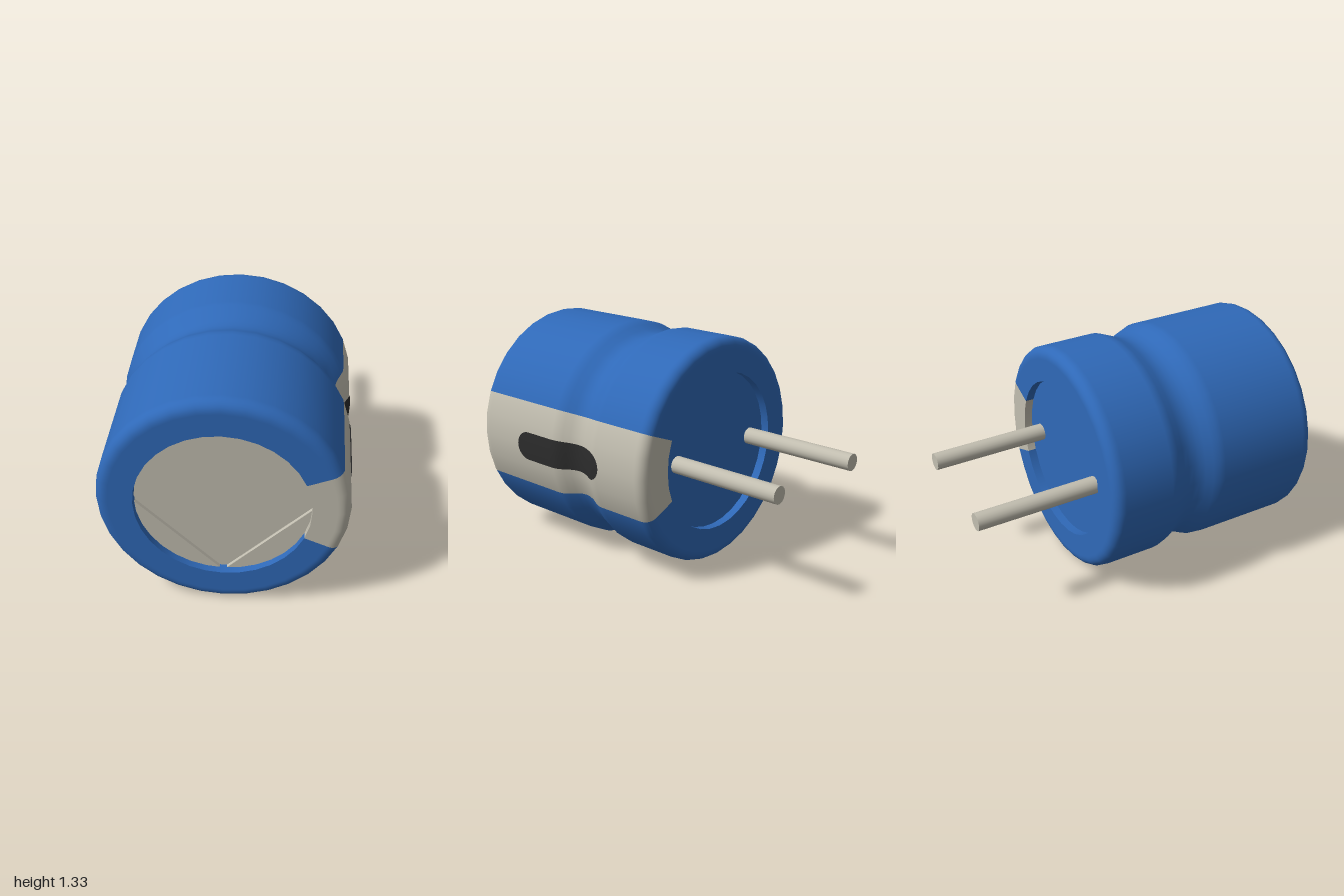
import * as THREE from 'three';

const material = (name, color) => {
  const m = new THREE.MeshStandardMaterial({ color });
  m.name = name;
  return m;
};

const CY = 0.665;        // height of the can's axis
const R = 0.665;         // can radius
const HOLE = 0.465;      // opening radius at both ends
const BACK = -0.33, FRONT = 1, FILLET = 0.06;
const SIDES = 32;
const STRIPE = Math.PI / 8; // half angle of the pale stripe

// [z, radius] of the pinched groove
const groove = [
  [0.03, R], [0.06, 0.662], [0.09, 0.651], [0.13, 0.631], [0.165, 0.619], [0.2, 0.614],
  [0.235, 0.617], [0.27, 0.628], [0.31, 0.648], [0.345, 0.661], [0.38, R],
];

function radiusAt(z) {
  for (let i = 1; i < groove.length; i++) {
    const [z0, r0] = groove[i - 1], [z1, r1] = groove[i];
    if (z >= z0 && z <= z1) return r0 + (r1 - r0) * (z - z0) / (z1 - z0);
  }
  return R;
}

// sleeve profile from the back opening to the front opening
function sleeveProfile() {
  const pts = [[HOLE, BACK], [R - FILLET - 0.01, BACK]];
  for (let i = 0; i <= 6; i++) {
    const a = (i / 6) * Math.PI / 2;
    pts.push([R - FILLET + FILLET * Math.sin(a), BACK + FILLET * (1 - Math.cos(a))]);
  }
  pts.push([R, BACK + FILLET + 0.01]);
  groove.forEach(([z, r]) => pts.push([r, z]));
  pts.push([R, FRONT - FILLET - 0.01]);
  for (let i = 6; i >= 0; i--) {
    const a = (i / 6) * Math.PI / 2;
    pts.push([R - FILLET + FILLET * Math.sin(a), FRONT - FILLET * (1 - Math.cos(a))]);
  }
  pts.push([R - FILLET - 0.01, FRONT], [HOLE, FRONT]);
  return pts;
}

// partial revolve around the z axis; angle PI/2 points to +x
function revolve(points, start, length) {
  const segments = Math.round(SIDES * length / (Math.PI * 2));
  const g = new THREE.LatheGeometry(points.map(p => new THREE.Vector2(...p)), segments, start, length);
  return g.rotateX(Math.PI / 2);
}

// rounded label that follows the sleeve surface
function markGeometry() {
  const z0 = 0.005, z1 = 0.665, h = 0.085, steps = 64;
  const pos = [], idx = [];
  for (let i = 0; i <= steps; i++) {
    // cosine spacing puts more rows in the round ends
    const z = z0 + (z1 - z0) * (1 - Math.cos(Math.PI * i / steps)) / 2;
    const d = Math.max(0, h - Math.min(z - z0, z1 - z));
    const half = Math.sqrt(Math.max(0, h * h - d * d)) / R;
    const r = radiusAt(z) + 0.004;
    for (const a of [-half, 0, half]) pos.push(r * Math.cos(a), r * Math.sin(a), z);
    if (i < steps) {
      for (let j = 0; j < 2; j++) {
        const a = i * 3 + j, b = a + 1, c = a + 3, d2 = a + 4;
        idx.push(a, b, c, b, d2, c);
      }
    }
  }
  const g = new THREE.BufferGeometry();
  g.setAttribute('position', new THREE.Float32BufferAttribute(pos, 3));
  g.setIndex(idx);
  g.computeVertexNormals();
  return g;
}

export function createModel() {
  const blue = material('sleeve blue', 0x2f69b8);
  const pale = material('pale metal', 0xc2beb0);
  const dark = material('mark black', 0x2c2c2c);
  dark.side = THREE.DoubleSide;

  const model = new THREE.Group();
  model.name = 'capacitor';
  const body = new THREE.Group();
  body.name = 'body';
  body.position.y = CY;
  model.add(body);

  const add = (name, geometry, mat) => {
    const mesh = new THREE.Mesh(geometry, mat);
    mesh.name = name;
    body.add(mesh);
    return mesh;
  };

  // sleeve and stripe, each with the inner walls of the two openings
  const arcs = [
    ['sleeve', blue, Math.PI / 2 + STRIPE, Math.PI * 2 - STRIPE * 2],
    ['stripe', pale, Math.PI / 2 - STRIPE, STRIPE * 2],
  ];
  for (const [name, mat, start, length] of arcs) {
    add(name, revolve(sleeveProfile(), start, length), mat);
    add(name + 'FrontWall', revolve([[HOLE, FRONT], [HOLE, 0.93]], start, length), mat);
    add(name + 'BackWall', revolve([[HOLE, -0.27], [HOLE, BACK]], start, length), mat);
  }

  add('stripeMark', markGeometry(), dark);

  // recessed back seal
  const seal = add('backSeal', new THREE.CircleGeometry(HOLE, SIDES), blue);
  seal.rotation.y = Math.PI;
  seal.position.z = -0.28;

  // front plate: floor plus four raised quadrants that leave a scored cross
  add('frontPlateFloor', new THREE.CircleGeometry(HOLE, SIDES), pale).position.z = 0.94;
  const gap = 0.018, a0 = Math.asin(gap / HOLE);
  const quadrant = new THREE.Shape();
  quadrant.moveTo(gap, gap);
  quadrant.absarc(0, 0, HOLE, a0, Math.PI / 2 - a0, false);
  quadrant.closePath();
  const quadrantGeometry = new THREE.ExtrudeGeometry(quadrant, { depth: 0.02, bevelEnabled: false, curveSegments: 8 });
  for (let i = 0; i < 4; i++) {
    const q = add('frontPlateQuadrant', quadrantGeometry, pale);
    q.rotation.z = i * Math.PI / 2;
    q.position.z = 0.94;
  }

  // leads, one slightly shorter
  for (const [name, x, end] of [['rightLead', -0.335, -1], ['leftLead', 0.33, -0.97]]) {
    const length = -0.27 - end;
    const g = new THREE.CylinderGeometry(0.05, 0.05, length, 20).rotateX(Math.PI / 2);
    add(name, g, pale).position.set(x, 0, end + length / 2);
  }
  return model;
}
